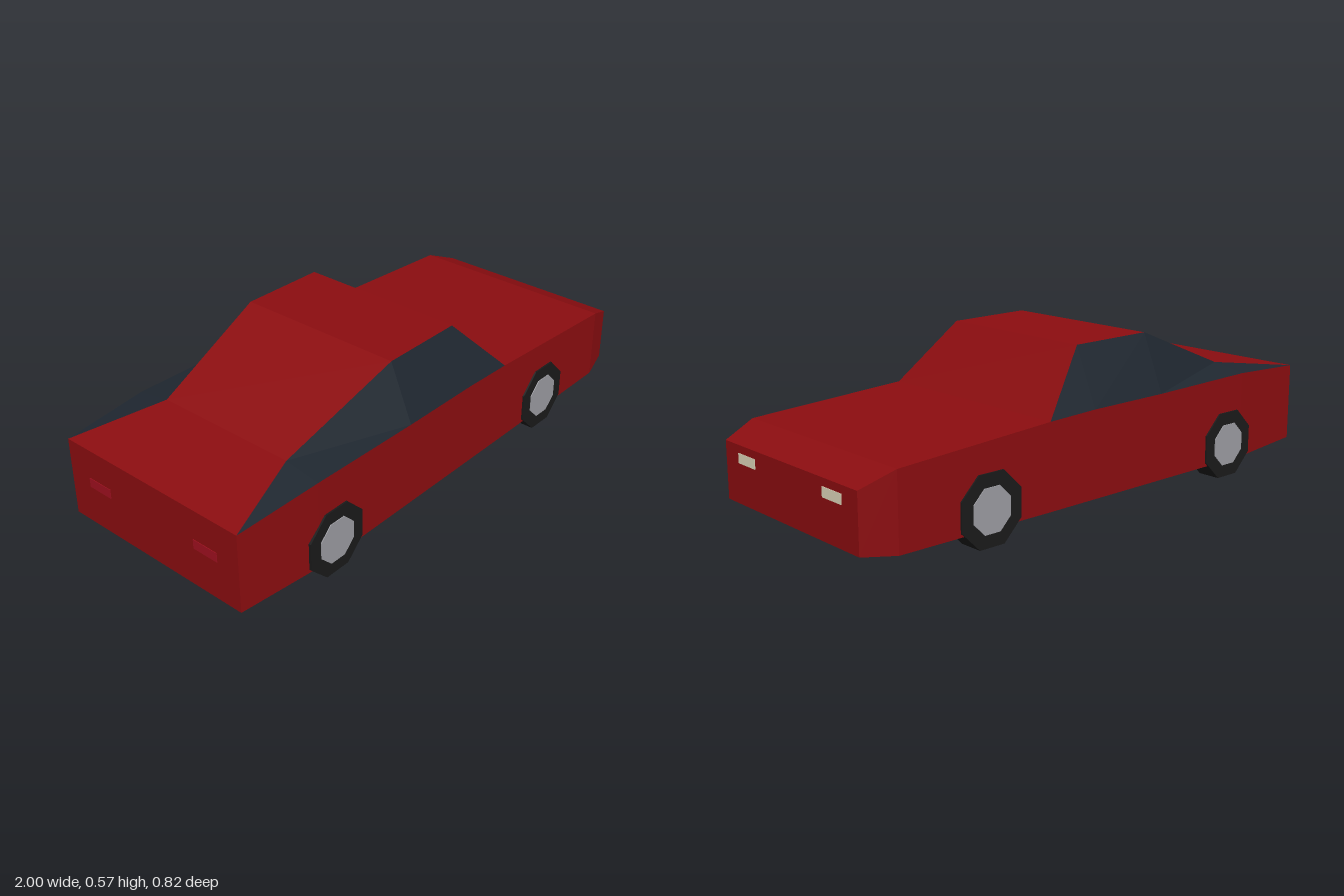
import * as THREE from 'three';

const mat = (color) => new THREE.MeshStandardMaterial({ color, flatShading: true, roughness: 0.8 });
const red = mat(0x8c0d10);
const glass = mat(0x1f2730);
const black = mat(0x161616);
const rubber = mat(0x1a1a1a);
const metal = mat(0x9d9da3);
const cream = mat(0xe0d8bc);
const tailRed = mat(0xa01020);

// Body stations from tail to nose: x, half width, sill y, belt y, roof half width, roof y
const STATIONS = [
  [-1.0, 0.38, 0.07, 0.355, 0.38, 0.355],
  [-0.68, 0.4, 0.055, 0.373, 0.27, 0.395],
  [-0.24, 0.4, 0.055, 0.364, 0.315, 0.567],
  [0.08, 0.4, 0.055, 0.362, 0.312, 0.564],
  [0.28, 0.4, 0.055, 0.355, 0.4, 0.355],
  [0.88, 0.4, 0.058, 0.32, 0.4, 0.32],
  [0.998, 0.37, 0.074, 0.273, 0.37, 0.273],
];

// Lengthwise rails on one side (s = 1 or -1)
const sill = (s) => STATIONS.map(([x, w, y]) => [x, y, s * w]);
const belt = (s) => STATIONS.map(([x, w, , y]) => [x, y, s * w]);
const roof = (s) => STATIONS.map(([x, , , , w, y]) => [x, y, s * w]);

// Triangles between two rails; flip mirrors the diagonal
function strip(a, b, flip = false) {
  const tris = [];
  for (let i = 0; i < a.length - 1; i++) {
    const j = i + 1;
    if (flip) tris.push([a[i], a[j], b[j]], [a[i], b[j], b[i]]);
    else tris.push([a[i], a[j], b[i]], [b[i], a[j], b[j]]);
  }
  return tris;
}

function panel(name, tris, material) {
  const same = (p, q) => p.every((v, k) => v === q[k]);
  const solid = tris.filter(([a, b, c]) => !same(a, b) && !same(b, c) && !same(a, c));
  const geo = new THREE.BufferGeometry();
  geo.setAttribute('position', new THREE.Float32BufferAttribute(solid.flat(2), 3));
  geo.computeVertexNormals();
  const mesh = new THREE.Mesh(geo, material);
  mesh.name = name;
  return mesh;
}

function createWheel(x, s) {
  const wheel = new THREE.Group();
  wheel.name = (x > 0 ? 'front' : 'rear') + 'Wheel';
  const add = (name, apothem, depth, z, material) => {
    const geo = new THREE.CylinderGeometry(1, 1, depth, 8);
    geo.rotateY(Math.PI / 8).rotateX(Math.PI / 2);
    const r = apothem / Math.cos(Math.PI / 8);
    geo.scale(r, r, 1);
    const mesh = new THREE.Mesh(geo, material);
    mesh.name = name;
    mesh.position.z = s * z;
    wheel.add(mesh);
  };
  add('tyre', 0.12, 0.086, 0.363, rubber);
  add('hubcap', 0.075, 0.02, 0.399, metal);
  wheel.position.set(x, 0.12, 0);
  return wheel;
}

export function createModel() {
  const car = new THREE.Group();
  car.name = 'car';

  // Painted sides, upper skin and end panels
  const last = STATIONS.length - 1;
  const [sl, sr, bl, br] = [sill(1), sill(-1), belt(1), belt(-1)];
  car.add(panel('bodySides', [...strip(sl, bl), ...strip(br, sr, true)], red));
  car.add(panel('upperSkin', strip(roof(1), roof(-1)), red));
  car.add(panel('nosePanel', [
    [sl[last], sr[last], br[last]], [sl[last], br[last], bl[last]],
  ], red));
  car.add(panel('tailPanel', [
    [sr[0], sl[0], bl[0]], [sr[0], bl[0], br[0]],
  ], red));
  car.add(panel('underside', strip(sr, sl), black));

  // Side glass between belt line and roof, from the tail to the windscreen base
  const cabin = (rail) => rail.slice(0, 5);
  car.add(panel('leftSideGlass', strip(cabin(bl), cabin(roof(1))), glass));
  car.add(panel('rightSideGlass', strip(cabin(roof(-1)), cabin(br), true), glass));

  // Wheels and lamps, mirrored across the centre line
  for (const s of [1, -1]) {
    for (const x of [-0.605, 0.53]) car.add(createWheel(x, s));
    for (const [name, x, material] of [['headlight', 0.995, cream], ['tailLight', -0.997, tailRed]]) {
      const lamp = new THREE.Mesh(new THREE.BoxGeometry(0.01, 0.034, 0.1), material);
      lamp.name = name;
      lamp.position.set(x, 0.229, s * 0.24);
      car.add(lamp);
    }
  }
  return car;
}
